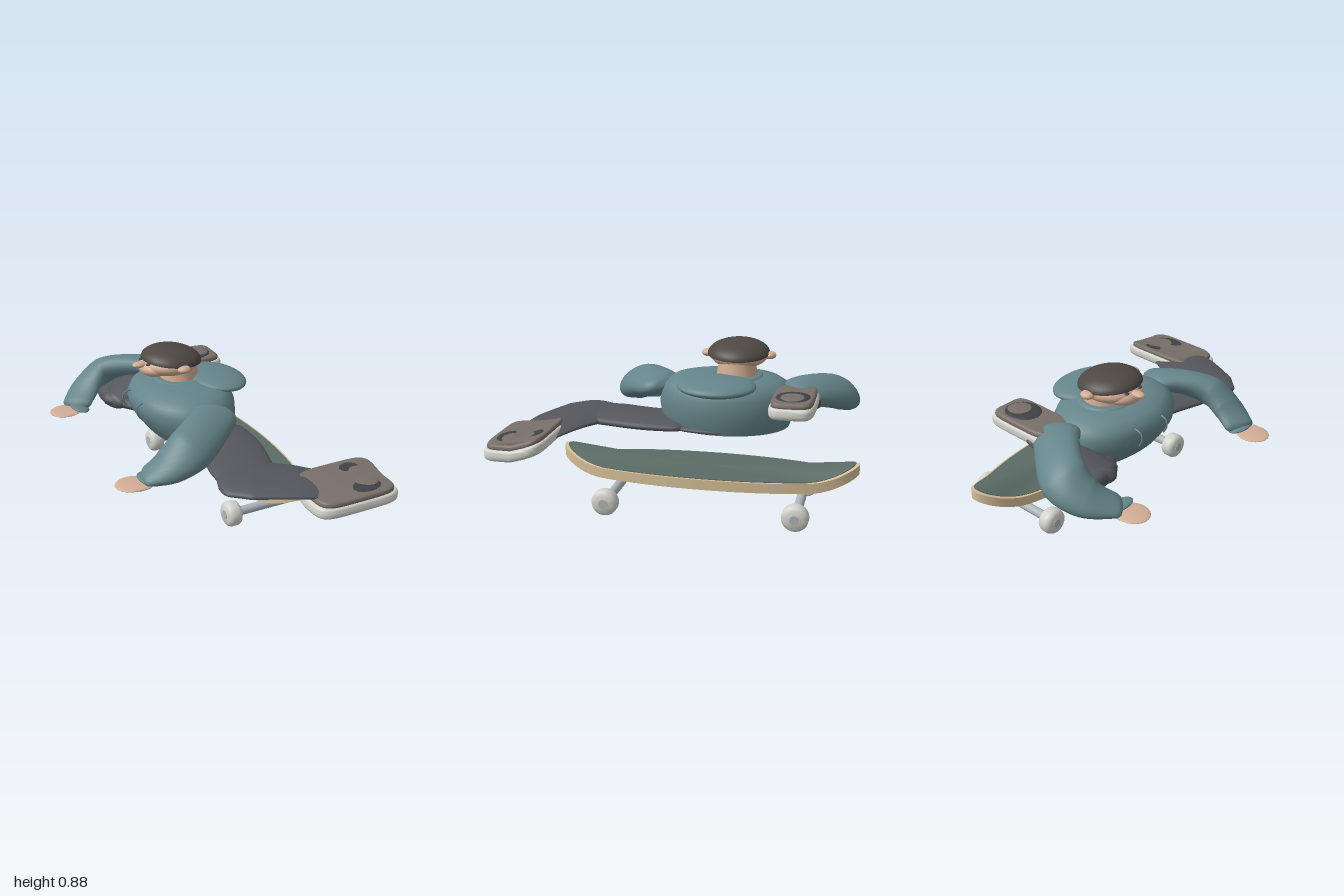
import * as THREE from 'three';
import { toCreasedNormals } from 'three/addons/utils/BufferGeometryUtils.js';

const V = (a) => new THREE.Vector3(...a);
const paint = (color) => new THREE.MeshStandardMaterial({ color, side: THREE.DoubleSide });
const mats = {
  teal: paint(0x65858a), pants: paint(0x55575d), skin: paint(0xd2ad94), cap: paint(0x4e4843),
  shoe: paint(0x786f69), dark: paint(0x414246), sole: paint(0xd2d2cb), wood: paint(0xd6bf98),
  grip: paint(0x5b6b66), metal: paint(0xadb5b8),
};

export function createModel() {
  const root = new THREE.Group();

  const add = (name, geo, mat, pos = [0, 0, 0], parent = root) => {
    const m = new THREE.Mesh(geo, mats[mat]);
    m.name = name;
    m.position.set(...pos);
    parent.add(m);
    return m;
  };
  const blob = (name, mat, pos, size, tilt = 0, parent = root) => {
    const m = add(name, new THREE.SphereGeometry(1, 32, 20), mat, pos, parent);
    m.scale.set(...size);
    m.rotation.z = tilt;
    return m;
  };

  // Sweep of flattened rings along a curve; each key is [x, y, z, radius, height/width]
  const limb = (name, mat, keys, roll = 0) => {
    const curve = new THREE.CatmullRomCurve3(keys.map((k) => V(k)), false, 'centripetal');
    const n = 24, rows = 44, pos = [], idx = [], up = V([0, 1, 0]);
    for (let i = 0; i <= rows; i++) {
      const u = i / rows, f = u * (keys.length - 1), a = Math.min(Math.floor(f), keys.length - 2);
      const mix = (c) => THREE.MathUtils.lerp(keys[a][c], keys[a + 1][c], f - a);
      const e = Math.min(1, u / 0.12, (1 - u) / 0.05);
      const r = mix(3) * Math.sqrt(Math.max(0, 1 - (1 - e) ** 2));
      const p = curve.getPoint(u), t = curve.getTangent(u);
      const side = t.clone().cross(up).normalize();
      side.applyAxisAngle(t, -roll * Math.sin(Math.PI * u));
      const top = side.clone().cross(t);
      for (let j = 0; j < n; j++) {
        const q = (j / n) * Math.PI * 2;
        const v = p.clone().addScaledVector(side, r * Math.cos(q)).addScaledVector(top, r * mix(4) * Math.sin(q));
        pos.push(v.x, v.y, v.z);
        if (i < rows) {
          const b = i * n + j, c = i * n + ((j + 1) % n);
          idx.push(b, b + n, c, c, b + n, c + n);
        }
      }
    }
    const g = new THREE.BufferGeometry();
    g.setAttribute('position', new THREE.Float32BufferAttribute(pos, 3));
    g.setIndex(idx);
    g.computeVertexNormals();
    return add(name, g, mat);
  };

  // Elliptical board with raised ends, capped by fans from a top and a bottom centre
  const plate = (name, mat, rx, rz, y0, y1, bottomY) => {
    const n = 72, pos = [0, y1, 0, 0, bottomY, 0], idx = [];
    for (let i = 0; i < n; i++) {
      const a = (i / n) * Math.PI * 2, s = Math.sin(a);
      const lift = 0.075 * Math.max(0, (Math.abs(s) - 0.7) / 0.3) ** 1.8;
      pos.push(rx * Math.cos(a), y1 + lift, rz * s, rx * Math.cos(a), y0 + lift, rz * s);
      const b = 2 + 2 * i, c = 2 + 2 * ((i + 1) % n);
      idx.push(0, c, b, 1, b + 1, c + 1, b, c, b + 1, c, c + 1, b + 1);
    }
    const g = new THREE.BufferGeometry();
    g.setAttribute('position', new THREE.Float32BufferAttribute(pos, 3));
    g.setIndex(idx);
    return add(name, toCreasedNormals(g, 0.6), mat, [0.26, 0, -0.175]);
  };

  // Skateboard, hollow underneath
  plate('deck', 'wood', 0.231, 0.825, 0.175, 0.231, 0.228);
  plate('gripTape', 'grip', 0.218, 0.805, 0.23, 0.235, 0.23);
  const wheelProfile = [[0, -0.044], [0.05, -0.044], [0.066, -0.034], [0.073, -0.018],
    [0.073, 0.018], [0.066, 0.034], [0.05, 0.044], [0, 0.044]].map((p) => new THREE.Vector2(...p));
  for (const z of [0.345, -0.69]) {
    const truck = new THREE.Group();
    truck.name = 'truck';
    truck.position.set(0.26, 0.074, z);
    root.add(truck);
    add('truckBase', new THREE.BoxGeometry(0.15, 0.042, 0.12), 'metal', [0, 0.082, 0], truck);
    add('axle', new THREE.CylinderGeometry(0.026, 0.026, 0.61, 20), 'metal', [0, 0, 0], truck).rotation.z = Math.PI / 2;
    for (const s of [-1, 1]) {
      const wheel = add('wheel', toCreasedNormals(new THREE.LatheGeometry(wheelProfile, 32), 0.7), 'sole', [s * 0.259, 0, 0], truck);
      wheel.rotation.z = Math.PI / 2;
    }
  }

  // Jumper body, drawn in below the chest
  const profile = [[0, 0.4], [0.93, 0.4], [0.97, 0.44], [1, 0.52], [0.98, 0.59], [0.92, 0.635],
    [0.8, 0.665], [0.6, 0.682], [0.35, 0.69], [0, 0.69]].map((p) => new THREE.Vector2(...p));
  const body = new THREE.LatheGeometry(profile, 48).scale(0.3, 1, 0.385);
  const bp = body.attributes.position;
  for (let i = 0; i < bp.count; i++) {
    if (bp.getX(i) < 0) bp.setX(i, bp.getX(i) * (1 - 2 * Math.max(0, 0.56 - bp.getY(i))));
  }
  add('torso', toCreasedNormals(body, 0.9), 'teal', [-0.04, 0, -0.22]);
  blob('hood', 'teal', [0.18, 0.667, -0.2], [0.17, 0.045, 0.22], -0.08);
  const collar = add('collar', new THREE.TorusGeometry(0.13, 0.03, 12, 40), 'teal', [-0.02, 0.677, -0.27]);
  collar.rotation.x = Math.PI / 2;
  collar.scale.z = 0.6;

  // Sleeves, cuffs and hands
  const arms = [
    ['left', 0.33, 0.55, [[0.04, 0.61, 0.1, 0.13, 0.45], [-0.1, 0.6, 0.25, 0.125, 0.55], [-0.27, 0.545, 0.36, 0.13, 0.65],
      [-0.39, 0.48, 0.36, 0.115, 0.6], [-0.53, 0.415, 0.31, 0.085, 0.35]]],
    ['right', -0.68, -0.55, [[0.04, 0.61, -0.57, 0.13, 0.45], [-0.09, 0.6, -0.71, 0.125, 0.55], [-0.28, 0.545, -0.84, 0.13, 0.65],
      [-0.4, 0.48, -0.81, 0.115, 0.6], [-0.53, 0.415, -0.68, 0.085, 0.35]]],
  ];
  for (const [side, z, roll, keys] of arms) {
    limb(side + 'Sleeve', 'teal', keys, roll);
    blob(side + 'Cuff', 'teal', [-0.5, 0.415, z], [0.055, 0.016, 0.085], -0.2);
    blob(side + 'Hand', 'skin', [-0.59, 0.407, z], [0.095, 0.012, 0.085]);
    blob(side + 'Thumb', 'skin', [-0.56, 0.405, z + (z > 0 ? 0.06 : -0.06)], [0.06, 0.01, 0.025]);
  }

  // Head with cap, facing -x
  const head = new THREE.Group();
  head.name = 'head';
  head.position.set(-0.08, 0.79, -0.28);
  root.add(head);
  add('neck', new THREE.CylinderGeometry(0.1, 0.118, 0.1, 32), 'skin', [0.06, -0.06, 0], head);
  blob('skull', 'skin', [0, -0.003, 0], [0.168, 0.068, 0.162], 0, head);
  blob('jaw', 'skin', [-0.1, -0.02, 0], [0.085, 0.05, 0.105], 0, head);
  blob('chin', 'skin', [-0.148, -0.03, 0], [0.035, 0.028, 0.05], 0, head);
  blob('nose', 'skin', [-0.185, 0.008, 0], [0.045, 0.017, 0.028], 0, head);
  for (const s of [-1, 1]) {
    blob('ear', 'skin', [0.01, 0.006, s * 0.177], [0.04, 0.022, 0.035], 0, head);
    blob('eye', 'dark', [-0.155, 0.02, s * 0.05], [0.012, 0.007, 0.014], 0, head);
  }
  const cap = add('cap', new THREE.SphereGeometry(1, 40, 16, 0, Math.PI * 2, 0, Math.PI / 2), 'cap', [0.012, 0.012, 0], head);
  cap.scale.set(0.176, 0.078, 0.176);
  cap.rotation.z = -0.1;

  // Drawstrings on the chest
  for (const z of [-0.34, -0.14]) {
    const path = new THREE.CatmullRomCurve3([[-0.28, 0.63, z], [-0.345, 0.61, z], [-0.35, 0.57, z], [-0.33, 0.53, z]].map(V));
    add('drawstring', new THREE.TubeGeometry(path, 16, 0.005, 8), 'teal');
  }

  // Trousers
  blob('hips', 'pants', [0.01, 0.415, -0.16], [0.24, 0.035, 0.34]);
  limb('leftThigh', 'pants', [[0.06, 0.42, -0.05, 0.18, 0.2], [0.06, 0.417, 0.2, 0.18, 0.22], [0, 0.412, 0.45, 0.18, 0.23], [-0.07, 0.408, 0.7, 0.13, 0.24]]);
  limb('leftShin', 'pants', [[-0.18, 0.408, 0.5, 0.15, 0.22], [-0.01, 0.412, 0.59, 0.2, 0.2], [0.2, 0.406, 0.71, 0.175, 0.18], [0.42, 0.375, 0.81, 0.13, 0.15]]);
  limb('rightThigh', 'pants', [[0.05, 0.44, -0.3, 0.13, 0.25], [-0.13, 0.45, -0.48, 0.12, 0.35], [-0.33, 0.48, -0.66, 0.1, 0.5]]);
  limb('rightShin', 'pants', [[-0.36, 0.45, -0.61, 0.14, 0.4], [-0.16, 0.515, -0.64, 0.125, 0.45], [0.12, 0.59, -0.66, 0.1, 0.4]]);

  // Shoes: rounded slabs, with the left one rolled upward on its inner side
  const slab = (len, wid, h, bevel) => {
    const pts = [];
    for (let i = 0; i < 48; i++) {
      const a = (i / 48) * Math.PI * 2, c = Math.cos(a), s = Math.sin(a);
      pts.push(new THREE.Vector2(Math.sign(c) * Math.abs(c) ** 0.4 * len / 2, Math.sign(s) * Math.abs(s) ** 0.4 * wid / 2));
    }
    const g = new THREE.ExtrudeGeometry(new THREE.Shape(pts), {
      depth: h - 2 * bevel, bevelSize: bevel, bevelThickness: bevel, bevelOffset: -bevel, bevelSegments: 4,
    });
    return g.rotateX(-Math.PI / 2).translate(0, bevel, 0);
  };
  const shoe = (side, x, y, z, len, wid, roll) => {
    const piece = (name, mat, geo) => {
      const p = geo.attributes.position;
      for (let i = 0; i < p.count; i++) p.setY(i, p.getY(i) + roll * Math.max(0, -0.01 - p.getZ(i)));
      add(side + name, toCreasedNormals(geo, 0.7), mat, [x, y, z]);
    };
    piece('Sole', 'sole', slab(len, wid, 0.063, 0.022));
    piece('Upper', 'shoe', slab(len * 0.92, wid * 0.92, 0.04, 0.018).translate(0, 0.05, 0));
    piece('Tongue', 'dark', new THREE.SphereGeometry(1, 24, 16).scale(len * 0.25, 0.016, wid * 0.38).translate(len * 0.14, 0.087, 0));
    piece('Instep', 'shoe', new THREE.SphereGeometry(1, 24, 16).scale(len * 0.19, 0.016, wid * 0.3).translate(len * 0.18, 0.09, 0));
  };
  shoe('left', 0.424, 0.311, 0.825, 0.515, 0.35, 0.33);
  shoe('right', 0.185, 0.558, -0.63, 0.44, 0.25, 0.03);

  return root;
}
